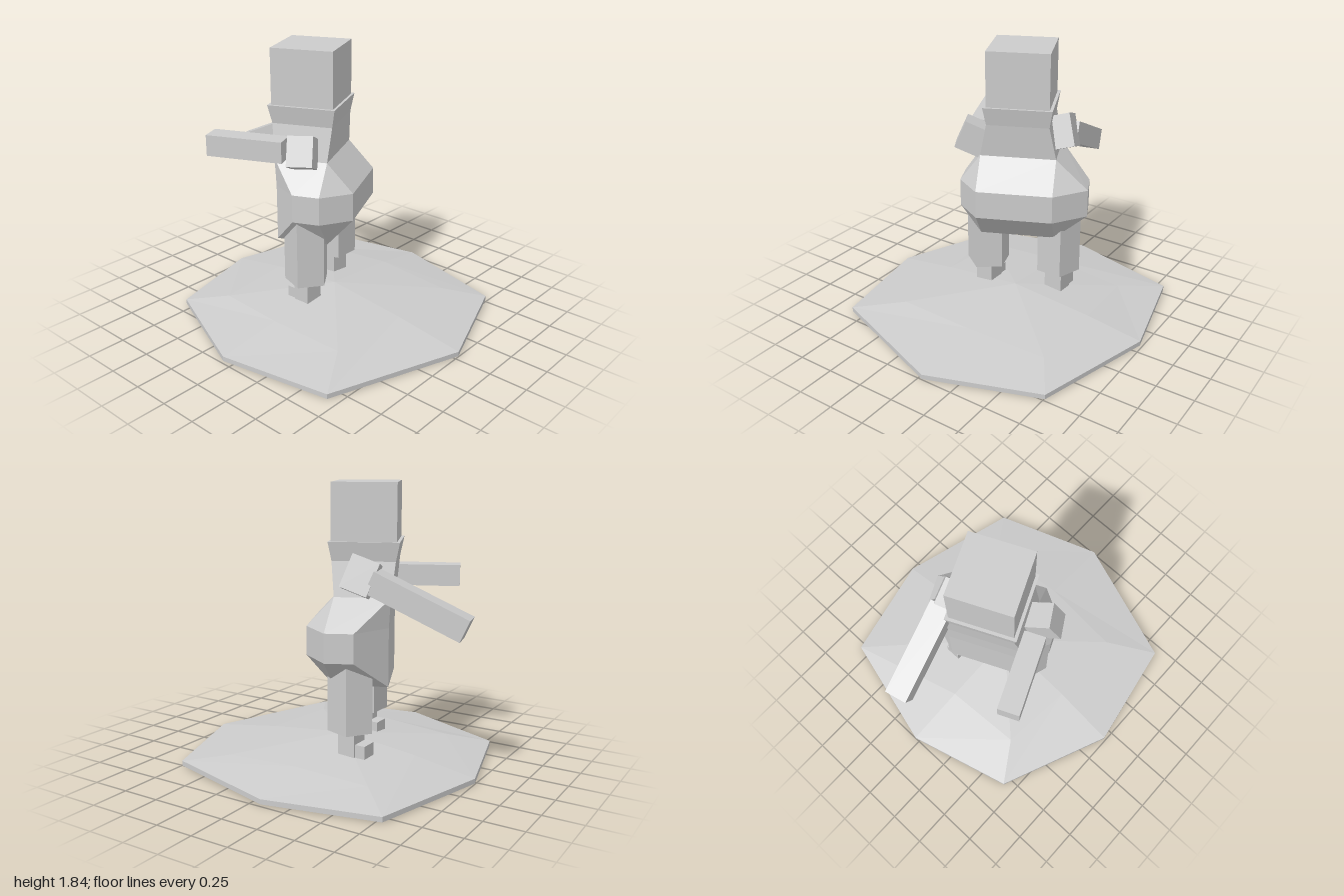
import * as THREE from 'three';

const material = new THREE.MeshStandardMaterial({ color: 0xcccccc, flatShading: true });

function named(name, geometry) {
  const mesh = new THREE.Mesh(geometry, material);
  mesh.name = name;
  return mesh;
}

// Skin between stacked rings, listed bottom to top as [y, points], with end caps.
// A point is [x, z] or [x, z, extra height].
function loft(rings) {
  const pos = [];
  const at = (k, i) => {
    const [y, pts] = rings[k];
    const [x, z, lift = 0] = pts[i % pts.length];
    return [x, y + lift, z];
  };
  const middle = (k) => {
    const [y, pts] = rings[k];
    const mean = (j) => pts.reduce((s, p) => s + p[j], 0) / pts.length;
    return [mean(0), y, mean(1)];
  };
  const n = rings[0][1].length, last = rings.length - 1;
  for (let i = 0; i < n; i++) {
    for (let k = 0; k < last; k++) {
      const a = at(k, i), b = at(k, i + 1), c = at(k + 1, i + 1), d = at(k + 1, i);
      pos.push(...a, ...b, ...c, ...a, ...c, ...d);
    }
    pos.push(...middle(0), ...at(0, i + 1), ...at(0, i));
    pos.push(...middle(last), ...at(last, i), ...at(last, i + 1));
  }
  const g = new THREE.BufferGeometry();
  g.setAttribute('position', new THREE.Float32BufferAttribute(pos, 3));
  g.computeVertexNormals();
  return g;
}

function box(name, size, position, rotation = [0, 0, 0]) {
  const mesh = named(name, new THREE.BoxGeometry(...size));
  mesh.position.set(...position);
  mesh.rotation.set(...rotation, 'YXZ');
  return mesh;
}

// Square bar running from one point to another
function bar(name, from, to, width) {
  const a = new THREE.Vector3(...from), b = new THREE.Vector3(...to);
  const mesh = named(name, new THREE.BoxGeometry(width, width, a.distanceTo(b)));
  mesh.position.copy(a).add(b).multiplyScalar(0.5);
  mesh.lookAt(b);
  return mesh;
}

// Five-sided leg with a block foot whose toe points back
function leg(name, x, z, turn) {
  const group = new THREE.Group();
  group.name = name;
  group.position.set(x, 0, z);
  const thigh = named('thigh', new THREE.CylinderGeometry(0.152, 0.152, 0.52, 5));
  thigh.position.y = 0.54;
  thigh.rotation.y = turn;
  group.add(thigh);
  group.add(box('ankle', [0.13, 0.18, 0.12], [0, 0.21, 0]));
  group.add(box('toe', [0.11, 0.085, 0.08], [0, 0.1625, -0.09]));
  return group;
}

export function createModel() {
  const model = new THREE.Group();
  model.name = 'blockFigureOnMound';

  // Faceted mound with a thin rim and a barely domed underside
  const rim = [[0.03, 1], [0.76, 0.74], [0.985, -0.07], [0.82, -0.79],
    [0.03, -1], [-0.67, -0.81], [-0.985, -0.07], [-0.85, 0.68]];
  const slope = [[0.03, 0.52], [0.59, 0.48, -0.03], [0.6, -0.05], [0.57, -0.55, -0.03],
    [0.03, -0.58], [-0.5, -0.55, -0.015], [-0.55, -0.05], [-0.53, 0.48, -0.015]];
  const underside = rim.map(([x, z]) => [x * 0.45, z * 0.45]);
  const peak = rim.map(() => [0.03, -0.04]);
  model.add(named('mound', loft([
    [0, underside], [0.005, rim], [0.037, rim], [0.107, slope], [0.167, peak],
  ])));

  // Upper body, turned on the mound
  const figure = new THREE.Group();
  figure.name = 'upperBody';
  figure.position.set(-0.02, 0, -0.19);
  figure.rotation.y = 0.425;
  model.add(figure);

  // Torso: bulging middle, narrow neck and flared collar
  const square = (w, front, back) => [[w, front], [w, front], [w, back], [w, back],
    [-w, back], [-w, back], [-w, front], [-w, front]];
  const bulge = [[0.25, 0.353], [0.465, 0.21], [0.46, 0.03], [0.25, -0.165],
    [-0.25, -0.165], [-0.39, -0.01], [-0.39, 0.17], [-0.25, 0.353]];
  figure.add(named('torso', loft([
    [0.565, square(0.25, 0.18, -0.165)],
    [0.757, bulge],
    [0.943, bulge],
    [1.13, square(0.25, 0.18, -0.175)],
    [1.35, square(0.205, 0.2, -0.2)],
    [1.47, square(0.225, 0.222, -0.225)],
  ])));
  figure.add(box('head', [0.41, 0.375, 0.41], [0, 1.6475, 0]));

  // Legs
  model.add(leg('leftLeg', 0.248, -0.24, Math.PI));
  model.add(leg('rightLeg', -0.215, -0.067, 0));

  // Arms: tilted upper block and a long forearm reaching back
  model.add(box('leftUpperArm', [0.18, 0.22, 0.18], [0.222, 1.262, -0.293], [-0.34, 0.29, 0.27]));
  model.add(bar('leftForearm', [0.222, 1.243, -0.37], [0.09, 0.98, -0.945], 0.147));
  model.add(box('rightUpperArm', [0.225, 0.195, 0.165], [-0.278, 1.2, -0.03], [-0.03, 0.55, -0.42]));
  model.add(bar('rightForearm', [-0.327, 1.21, -0.14], [-0.535, 1.21, -0.61], 0.14));

  return model;
}
